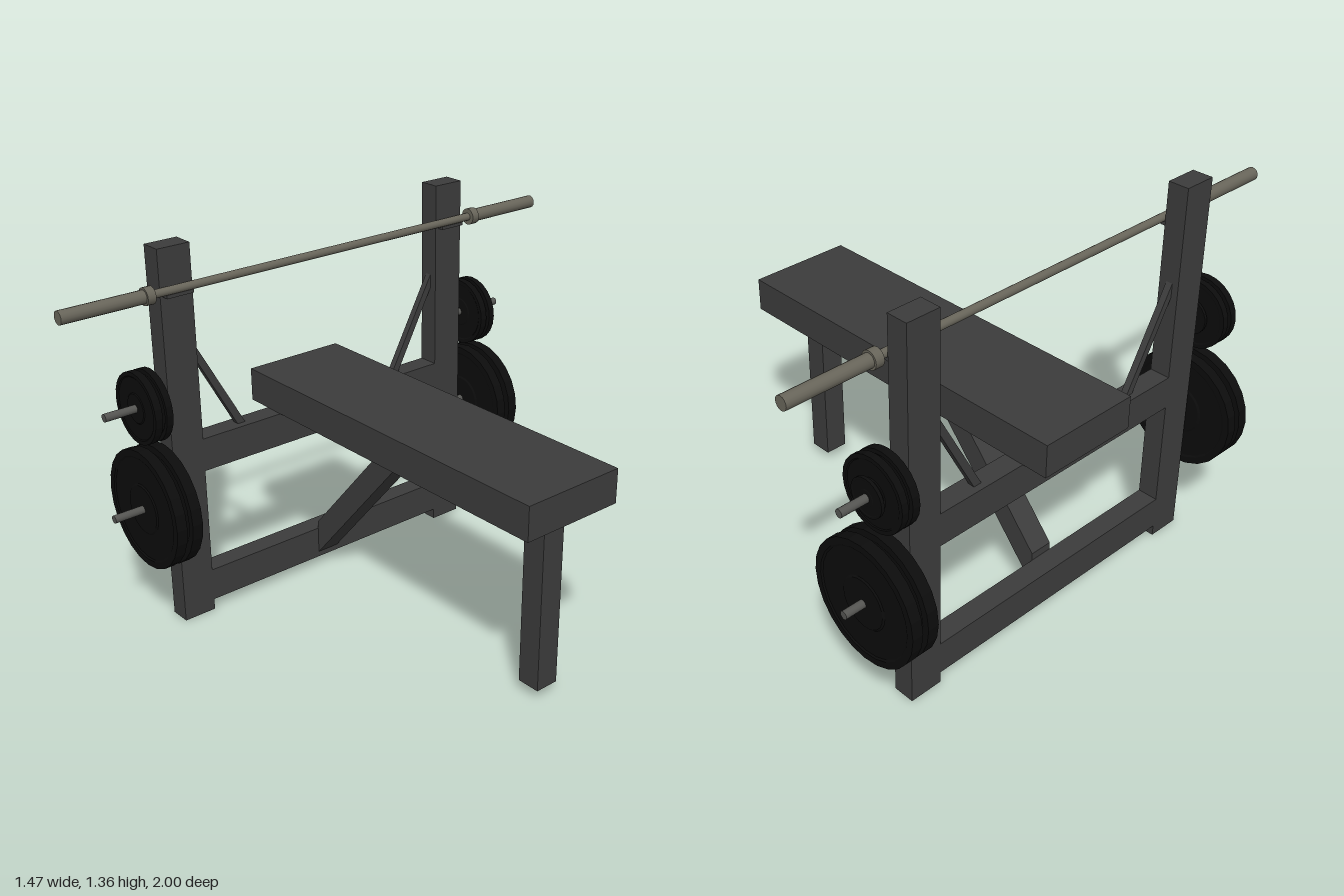
import * as THREE from 'three';

const paint = (color) => new THREE.MeshStandardMaterial({ color });

export function createModel() {
  const model = new THREE.Group();
  const frame = paint(0x3c3c3c);
  const steel = paint(0x68655a);
  const pegSteel = paint(0x555552);
  const iron = paint(0x0c0c0c);
  iron.flatShading = true;

  const add = (name, geometry, material) => {
    const mesh = new THREE.Mesh(geometry, material);
    mesh.name = name;
    model.add(mesh);
    return mesh;
  };
  // Box given by its extents
  const box = (name, x0, x1, y0, y1, z0, z1, material = frame) =>
    add(name, new THREE.BoxGeometry(x1 - x0, y1 - y0, z1 - z0), material)
      .position.set((x0 + x1) / 2, (y0 + y1) / 2, (z0 + z1) / 2);
  // Round rod along z
  const rod = (name, r, x, y, z0, z1, material) =>
    add(name, new THREE.CylinderGeometry(r, r, z1 - z0, 16).rotateX(Math.PI / 2), material)
      .position.set(x, y, (z0 + z1) / 2);
  // Outline in x,y extruded along z
  const slab = (points, z0, z1) => {
    const shape = new THREE.Shape(points.map(([x, y]) => new THREE.Vector2(x, y)));
    return new THREE.ExtrudeGeometry(shape, { depth: z1 - z0, bevelEnabled: false }).translate(0, 0, z0);
  };
  // Weight plate with a shallow recess between hub and rim on both faces
  const plate = (name, r, y, z0, z1) => {
    const h = (z1 - z0) / 2;
    const d = h * 0.8;
    const side = [[0, h], [r * 0.4, h], [r * 0.43, d], [r * 0.86, d], [r * 0.89, h], [r, h]];
    const profile = [...side.map(([a, b]) => [a, -b]), ...side.reverse()];
    const geometry = new THREE.LatheGeometry(profile.map(([a, b]) => new THREE.Vector2(a, b)), 24);
    add(name, geometry.rotateX(Math.PI / 2), iron).position.set(-0.525, y, (z0 + z1) / 2);
  };

  // Rack: posts and cross beams
  const zc = -0.011;
  for (const s of [1, -1]) {
    const inner = zc + s * 0.524;
    const outer = zc + s * 0.645;
    box('post', -0.566, -0.49, 0, 1.36, Math.min(inner, outer), Math.max(inner, outer));

    // Thin diagonal strut from post to upper beam
    const strut = slab([[0.525, 1.02], [0.525, 0.968], [0.361, 0.665], [0.33, 0.665]], -0.012, 0.012);
    strut.rotateY(-Math.PI / 2);
    if (s < 0) strut.rotateY(Math.PI);
    add('strut', strut, frame).position.set(-0.53, 0, zc);

    // Small cradle carrying the bar
    const cradle = zc + s * 0.585;
    box('barCradle', -0.492, -0.465, 1.2, 1.213, cradle - 0.05, cradle + 0.05);

    // Storage pegs
    for (const y of [0.467, 0.835]) {
      const tip = zc + s * 0.865;
      const root = zc + s * 0.6;
      rod('storagePeg', 0.014, -0.525, y, Math.min(tip, root), Math.max(tip, root), pegSteel);
    }
  }
  box('lowerBeam', -0.566, -0.49, 0.04, 0.16, -0.54, 0.52);
  box('upperBeam', -0.566, -0.49, 0.55, 0.67, -0.54, 0.52);

  // Bench: pad, leg and slanted brace
  box('benchPad', -0.66, 0.735, 0.67, 0.79, -0.19, 0.192);
  box('benchLeg', 0.576, 0.66, 0.04, 0.67, -0.043, 0.043);
  add('benchBrace', slab([[-0.49, 0.06], [0.045, 0.67], [-0.065, 0.67], [-0.49, 0.188]], -0.043, 0.043), frame);

  // Barbell
  rod('bar', 0.014, -0.47, 1.225, -0.72, 0.72, steel);
  for (const s of [1, -1]) {
    const span = (a, b) => (s > 0 ? [a, b] : [-b, -a]);
    rod('barSleeve', 0.023, -0.47, 1.225, ...span(0.69, 1), steel);
    rod('barCollar', 0.03, -0.47, 1.225, ...span(0.675, 0.705), steel);
  }

  // Stored plates: the same stack repeated on each side
  for (const side of [0, 1]) {
    const big = side * -1.449;
    const small = side * -1.428;
    plate('largePlate', 0.213, 0.467, 0.645 + big, 0.684 + big);
    plate('largePlate', 0.213, 0.467, 0.705 + big, 0.744 + big);
    plate('smallPlate', 0.125, 0.835, 0.711 + small, 0.738 + small);
    plate('smallPlate', 0.125, 0.835, 0.672 + small, 0.696 + small);
    plate('tinyPlate', 0.065, 0.835, 0.65 + small, 0.661 + small);
  }
  return model;
}
